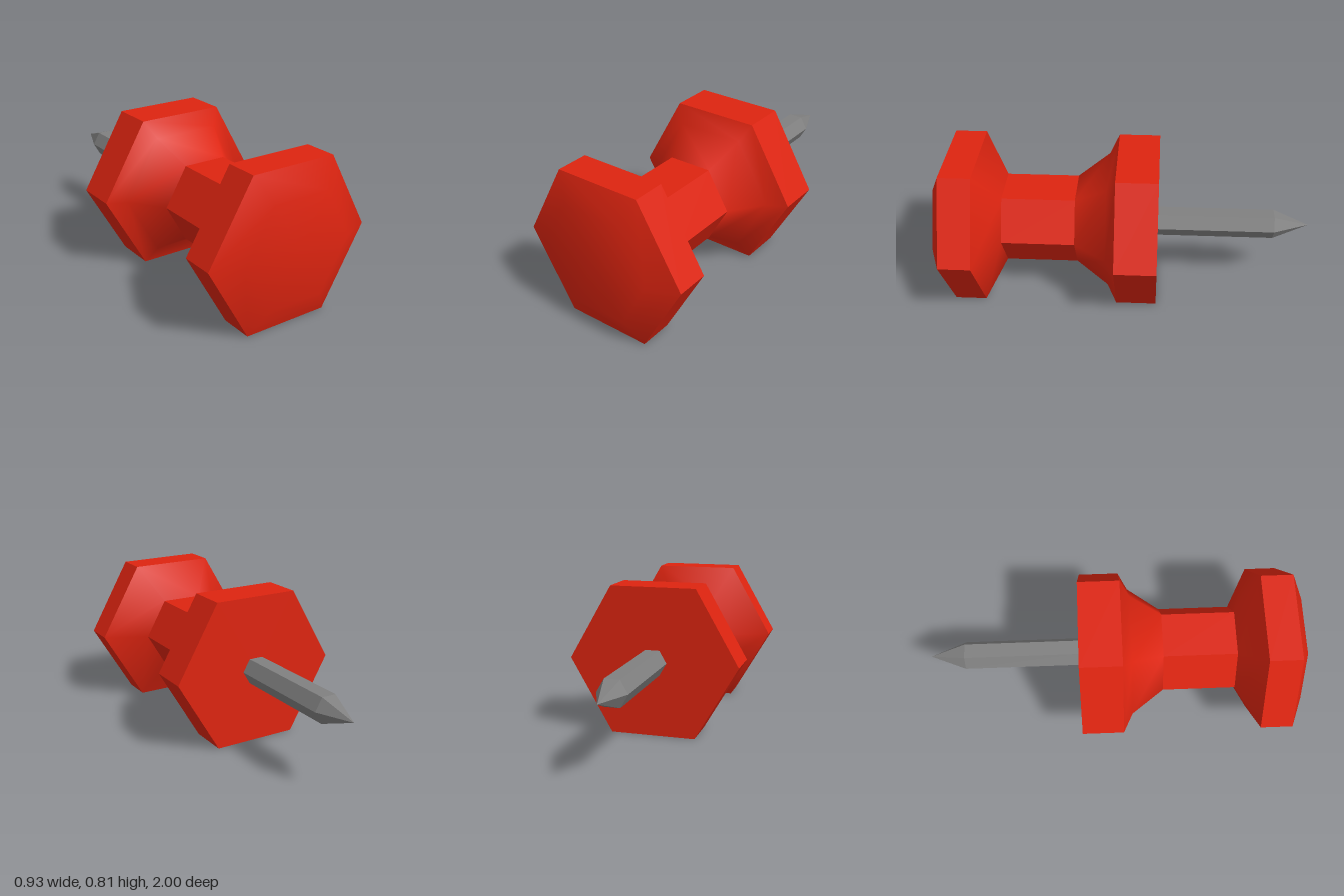
import * as THREE from 'three';
import { toCreasedNormals } from 'three/addons/utils/BufferGeometryUtils.js';

const CENTER_Y = 0.405;

export function createModel() {
  const redPlastic = new THREE.MeshStandardMaterial({ color: 0xdd2410 });
  const greySteel = new THREE.MeshStandardMaterial({ color: 0x808080 });
  redPlastic.name = 'redPlastic';
  greySteel.name = 'greySteel';

  const pin = new THREE.Group();
  pin.name = 'pushPin';

  // Six-sided turned part along z; profile is [radius, z] from back to front
  function turned(parent, name, profile, material, smooth = false) {
    const points = profile.map(([r, z]) => new THREE.Vector2(r, z));
    const lathe = new THREE.LatheGeometry(points, 6, Math.PI / 2);
    lathe.rotateX(Math.PI / 2);
    let geometry = lathe.toNonIndexed();
    if (smooth) geometry = toCreasedNormals(geometry, 1.1);
    else geometry.computeVertexNormals();
    const mesh = new THREE.Mesh(geometry, material);
    mesh.name = name;
    parent.add(mesh);
  }

  const handle = new THREE.Group();
  handle.name = 'handle';
  const needle = new THREE.Group();
  needle.name = 'needle';
  handle.position.y = needle.position.y = CENTER_Y;
  pin.add(handle, needle);

  // Handle: flat-sided rims and grip joined by softly shaded flares
  turned(handle, 'collarBase', [[0, -0.18], [0.467, -0.18]], redPlastic);
  turned(handle, 'collarRim', [[0.467, -0.18], [0.467, 0.04]], redPlastic);
  turned(handle, 'collarFlare', [[0.467, 0.04], [0.365, 0.09], [0.237, 0.26]], redPlastic, true);
  turned(handle, 'grip', [[0.237, 0.26], [0.237, 0.65]], redPlastic);
  turned(handle, 'headFlare', [[0.237, 0.65], [0.467, 0.77]], redPlastic, true);
  turned(handle, 'headRim', [[0.467, 0.77], [0.467, 0.94]], redPlastic);
  turned(handle, 'headCap', [[0.467, 0.94], [0.31, 1], [0, 1]], redPlastic, true);

  // Needle: hexagonal shaft and pointed tip
  turned(needle, 'needleTip', [[0, -1], [0.078, -0.81]], greySteel);
  turned(needle, 'needleShaft', [[0.078, -0.81], [0.078, -0.18]], greySteel);

  return pin;
}
